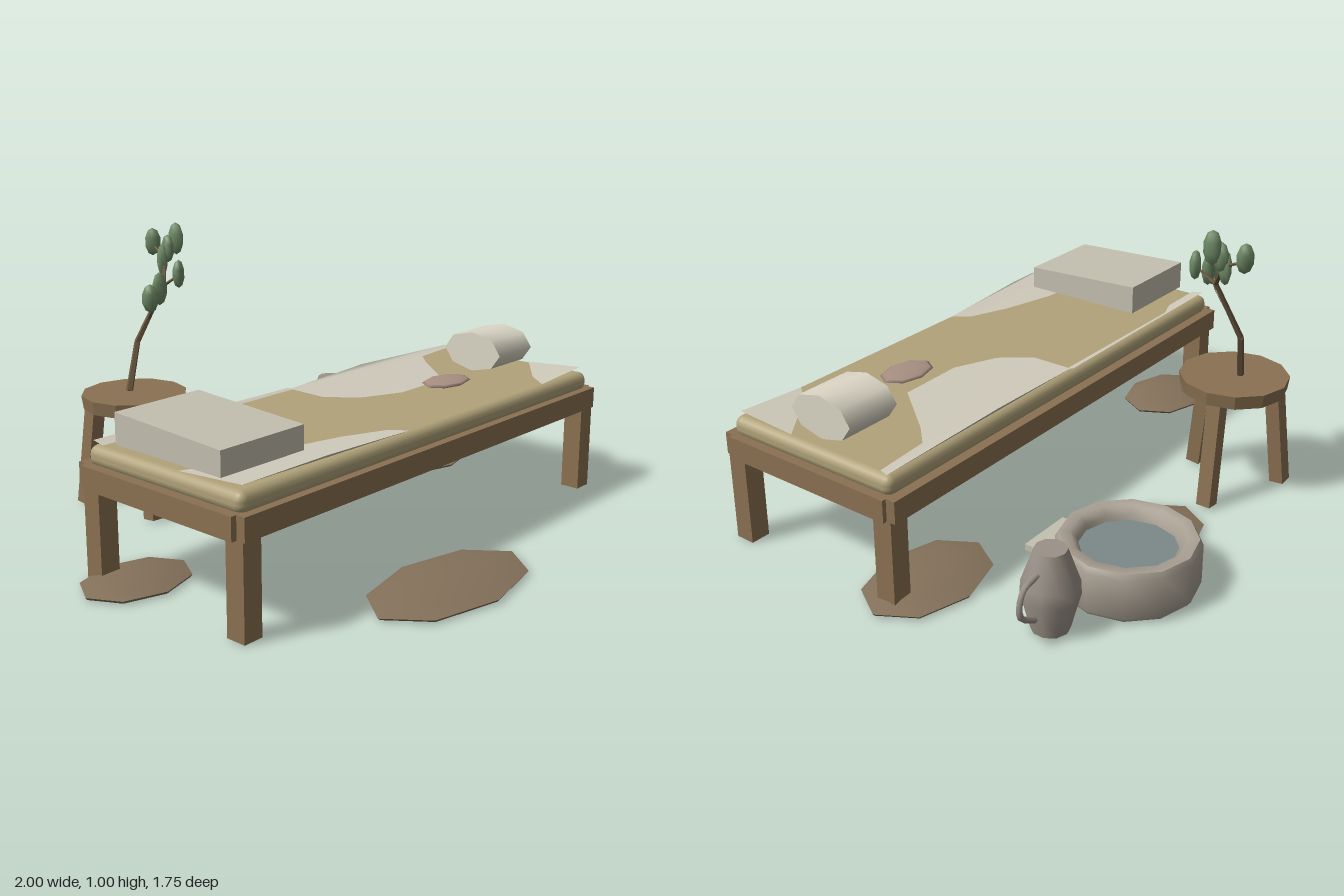
import * as THREE from 'three';
import { toCreasedNormals } from 'three/addons/utils/BufferGeometryUtils.js';
import { RoundedBoxGeometry } from 'three/addons/geometries/RoundedBoxGeometry.js';

const mat = (color, extra = {}) => {
  const m = new THREE.MeshStandardMaterial(extra);
  m.color.set(color);
  return m;
};
const M = {
  wood: mat(0x8b7152),
  darkWood: mat(0x6b583f),
  mat: mat(0x84715a),
  mattress: mat(0xb0a279),
  sheet: mat(0xcfcabb, { side: THREE.DoubleSide }),
  blanket: mat(0xc4c0b0),
  pillow: mat(0xdcd7c6),
  pad: mat(0xa88f82),
  clay: mat(0x9b9288),
  basin: mat(0xa9a093),
  water: mat(0x7c8a88),
  leaf: mat(0x6f8b66),
};
const v3 = (p) => new THREE.Vector3(...p);
const crease = (g, a = 0.9) => toCreasedNormals(g, a);

function add(parent, name, geometry, material, x = 0, y = 0, z = 0) {
  const mesh = new THREE.Mesh(geometry, material);
  mesh.name = name;
  mesh.position.set(x, y, z);
  parent.add(mesh);
  return mesh;
}

// Box given by its lower and upper corners
function box(parent, name, material, [x0, y0, z0], [x1, y1, z1]) {
  return add(parent, name, new THREE.BoxGeometry(x1 - x0, y1 - y0, z1 - z0), material,
    (x0 + x1) / 2, (y0 + y1) / 2, (z0 + z1) / 2);
}

const lathe = (pts, sides) =>
  crease(new THREE.LatheGeometry(pts.map(([r, y]) => new THREE.Vector2(r, y)), sides));

// Straight tapered bar between two points
function bar(parent, name, material, a, b, r0, r1, sides) {
  const p = v3(a), d = v3(b).sub(p);
  const g = crease(new THREE.CylinderGeometry(r1, r0, d.length(), sides), 1.2);
  if (sides === 4) g.rotateY(Math.PI / 4);
  const mesh = add(parent, name, g, material);
  mesh.position.copy(p).addScaledVector(d, 0.5);
  mesh.quaternion.setFromUnitVectors(new THREE.Vector3(0, 1, 0), d.normalize());
}

// Flat piece of sheet from [x, z, height] outline points
function sheetPatch(parent, pts) {
  const g = new THREE.ShapeGeometry(new THREE.Shape(pts.map(([x, z]) => new THREE.Vector2(x, -z))));
  g.rotateX(-Math.PI / 2);
  const pos = g.attributes.position;
  for (let i = 0; i < pos.count; i++) {
    const near = pts.find(([x, z]) => Math.hypot(x - pos.getX(i), z - pos.getZ(i)) < 1e-4);
    pos.setY(i, near[2]);
  }
  g.computeVertexNormals();
  add(parent, 'sheet', g, M.sheet);
}

function makeBed() {
  const bed = new THREE.Group();
  bed.name = 'bed';
  for (const x of [-0.885, 0.865])
    for (const z of [-0.19, 0.435])
      box(bed, 'bedLeg', M.wood, [x, 0, z], [x + 0.07, 0.37, z + 0.07]);
  for (const z of [-0.208, 0.472])
    box(bed, 'sideRail', M.wood, [-0.885, 0.305, z], [0.935, 0.38, z + 0.04]);
  for (const x of [-0.905, 0.91])
    box(bed, 'endRail', M.wood, [x, 0.305, -0.175], [x + 0.04, 0.38, 0.48]);
  // Cross slats and the cords running along the bed
  for (let i = 0; i < 7; i++) {
    const x = -0.68 + i * 0.235;
    box(bed, 'slat', M.wood, [x - 0.018, 0.325, -0.17], [x + 0.018, 0.35, 0.475]);
  }
  for (let i = 0; i < 4; i++) {
    const z = -0.05 + i * 0.135;
    box(bed, 'cord', M.mat, [-0.87, 0.352, z - 0.009], [0.92, 0.366, z + 0.009]);
  }
  add(bed, 'mattress', new RoundedBoxGeometry(1.8, 0.07, 0.67, 2, 0.03), M.mattress, 0.024, 0.404, 0.155);

  // Rumpled sheet showing in four places
  sheetPatch(bed, [[-0.86, 0.22, 0.441], [-0.7, 0.28, 0.441], [-0.5, 0.3, 0.441], [-0.3, 0.35, 0.441],
    [-0.15, 0.41, 0.441], [-0.11, 0.465, 0.441], [-0.5, 0.475, 0.458], [-0.86, 0.48, 0.46]]);
  sheetPatch(bed, [[0, -0.155, 0.442], [0, 0, 0.441], [0.08, 0.1, 0.441], [0.23, 0.165, 0.441],
    [0.47, 0.16, 0.441], [0.63, -0.04, 0.441], [0.7, -0.11, 0.441], [0.9, -0.125, 0.441],
    [0.91, -0.16, 0.442], [0.4, -0.165, 0.455]]);
  sheetPatch(bed, [[0.65, 0.465, 0.441], [0.72, 0.38, 0.441], [0.9, 0.245, 0.441], [0.905, 0.465, 0.456]]);
  sheetPatch(bed, [[-0.86, -0.165, 0.452], [-0.86, -0.12, 0.444], [-0.69, -0.12, 0.442],
    [-0.62, -0.145, 0.441], [0, -0.145, 0.441], [0, -0.165, 0.444]]);

  // Folded blanket, higher towards the back
  const blanket = box(bed, 'foldedBlanket', M.blanket, [-0.85, 0.455, -0.07], [-0.51, 0.535, 0.385]);
  const bp = blanket.geometry.attributes.position;
  for (let i = 0; i < bp.count; i++)
    if (bp.getY(i) > 0 && bp.getZ(i) < 0) bp.setY(i, bp.getY(i) + 0.022);
  blanket.geometry.computeVertexNormals();

  const roll = new THREE.CylinderGeometry(1, 1, 0.205, 8).rotateZ(Math.PI / 2);
  roll.scale(1, 0.073, 0.123);
  add(bed, 'pillow', crease(roll, 1.3), M.pillow, 0.757, 0.51, 0.155);
  const pad = new THREE.SphereGeometry(1, 8, 6).scale(0.108, 0.012, 0.07);
  add(bed, 'smallPad', pad, M.pad, 0.387, 0.464, 0.237);
  return bed;
}

function makeStool() {
  const stool = new THREE.Group();
  stool.name = 'stool';
  const cx = -0.34, cz = -0.595;
  add(stool, 'stoolSeat', crease(new THREE.CylinderGeometry(0.187, 0.18, 0.048, 12), 0.4), M.wood, cx, 0.396, cz);
  for (const deg of [-7, 113, 230]) {
    const c = Math.cos(deg * Math.PI / 180), s = Math.sin(deg * Math.PI / 180);
    bar(stool, 'stoolLeg', M.wood, [cx + 0.185 * c, 0.005, cz + 0.185 * s],
      [cx + 0.14 * c, 0.385, cz + 0.14 * s], 0.036, 0.036, 4);
  }
  return stool;
}

function makeBranch() {
  const plant = new THREE.Group();
  plant.name = 'leafyBranch';
  const base = [-0.345, 0.42, -0.615], mid = [-0.28, 0.585, -0.64], fork = [-0.2, 0.785, -0.58];
  const twig = [-0.25, 0.67, -0.61], side = [-0.29, 0.725, -0.535], upper = [-0.15, 0.87, -0.63];
  [
    [base, mid, 0.013, 0.011], [mid, fork, 0.011, 0.008], [twig, side, 0.007, 0.006],
    [side, [-0.34, 0.76, -0.49], 0.006, 0.004], [side, [-0.29, 0.78, -0.505], 0.006, 0.004],
    [fork, upper, 0.008, 0.006], [upper, [-0.11, 0.95, -0.61], 0.006, 0.004],
    [upper, [-0.13, 0.91, -0.715], 0.006, 0.004], [fork, [-0.195, 0.83, -0.505], 0.006, 0.004],
  ].forEach(([a, b, r0, r1]) => bar(plant, 'twig', M.darkWood, a, b, r0, r1, 5));
  [
    [-0.34, 0.77, -0.49], [-0.287, 0.795, -0.503], [-0.195, 0.835, -0.505], [-0.155, 0.865, -0.635],
    [-0.138, 0.905, -0.625], [-0.11, 0.94, -0.61], [-0.13, 0.92, -0.715],
  ].forEach((p, i) => {
    const leaf = add(plant, 'leaf', new THREE.SphereGeometry(1, 7, 5), M.leaf, ...p);
    leaf.scale.set(0.03, i % 2 ? 0.058 : 0.05, 0.02);
    leaf.rotation.y = i * 0.5 - 0.6;
  });
  return plant;
}

export function createModel() {
  const model = new THREE.Group();
  model.name = 'sickroomSet';
  model.add(makeBed(), makeStool(), makeBranch());

  // Low eight-sided floor mats: centre x, z and half sizes
  const matShape = lathe([[0, 0.004], [0.97, 0.004], [1, 0.012], [0.7, 0.027], [0, 0.035]], 8);
  [[-0.18, 0.685, 0.343, 0.185], [-0.803, -0.055, 0.197, 0.147],
    [0.752, -0.16, 0.246, 0.168], [0.13, -0.575, 0.22, 0.155]].forEach(([x, z, rx, rz]) => {
    add(model, 'floorMat', matShape, M.mat, x, 0, z).scale.set(rx, 1, rz);
  });
  box(model, 'foldedCloth', M.blanket, [0.235, 0.003, -0.52], [0.44, 0.025, -0.297]);

  // Thick-walled basin with water
  const wall = [[0.155, 0.03], [0.175, 0.004], [0.215, 0.004], [0.226, 0.02], [0.226, 0.15],
    [0.215, 0.168], [0.18, 0.168], [0.158, 0.145], [0.155, 0.03]];
  const basin = new THREE.Group();
  basin.name = 'basin';
  basin.position.set(0.388, 0, -0.655);
  add(basin, 'basinWall', lathe(wall, 12), M.basin);
  add(basin, 'water', new THREE.CylinderGeometry(0.16, 0.16, 0.02, 12), M.water, 0, 0.115, 0);
  model.add(basin);

  // Jug with a side handle
  const jug = new THREE.Group();
  jug.name = 'jug';
  jug.position.set(0.72, 0, -0.605);
  add(jug, 'jugBody', lathe([[0, 0.004], [0.06, 0.004], [0.09, 0.12], [0.088, 0.165], [0.05, 0.272], [0, 0.272]], 10), M.clay);
  const path = new THREE.CatmullRomCurve3(
    [[0.065, 0.215, 0], [0.125, 0.2, 0], [0.145, 0.165, 0], [0.142, 0.115, 0], [0.075, 0.07, 0]].map(v3));
  add(jug, 'jugHandle', new THREE.TubeGeometry(path, 12, 0.01, 6), M.clay);
  model.add(jug);
  return model;
}
